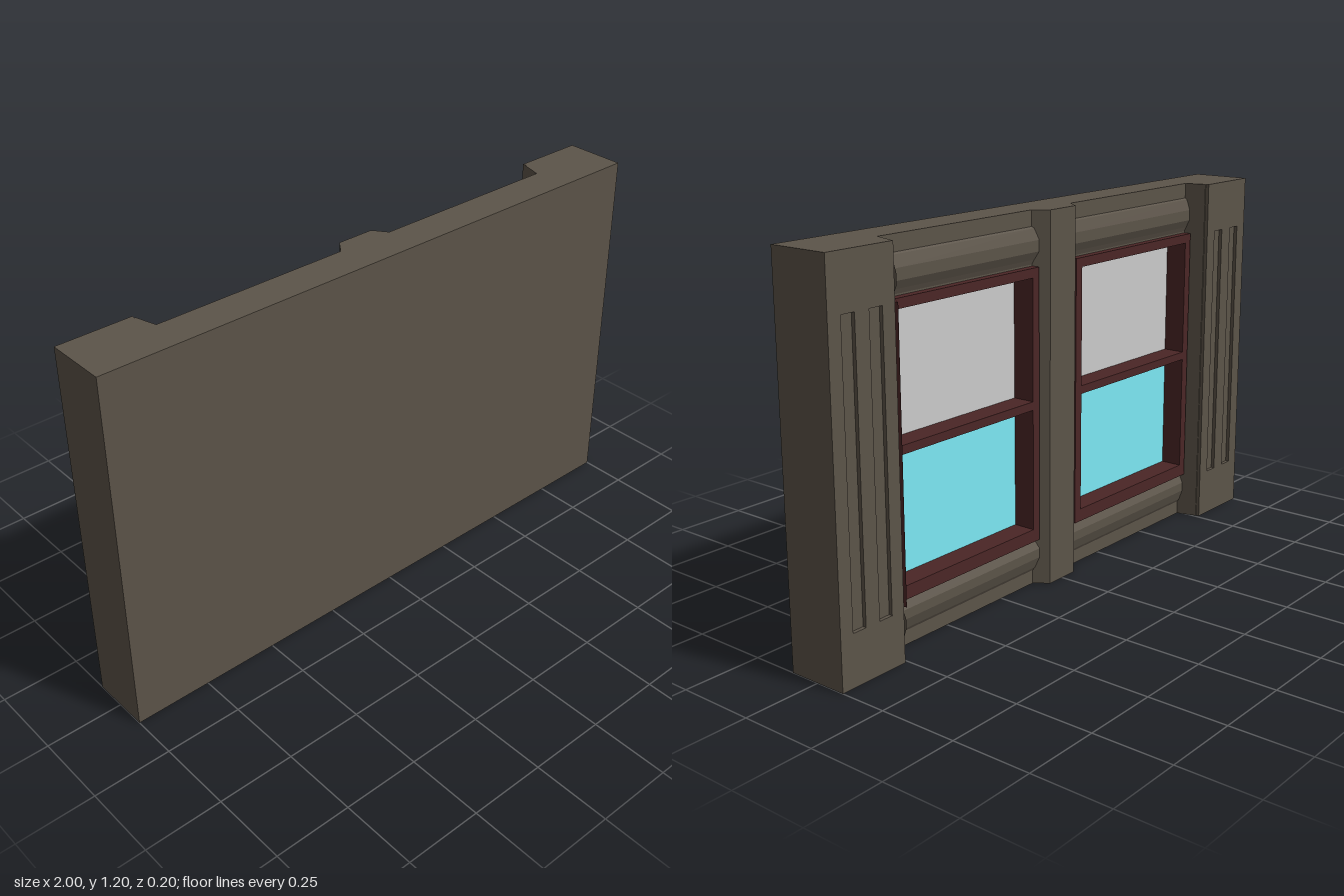
import * as THREE from 'three';

const mat = (color, extra = {}) => new THREE.MeshStandardMaterial({ color, ...extra });

function polygon(points) {
  return new THREE.Shape(points.map(([x, y]) => new THREE.Vector2(x, y)));
}

const rect = (x0, y0, x1, y1) => polygon([[x0, y0], [x1, y0], [x1, y1], [x0, y1]]);

// Panel in the XY plane with rectangular openings, from z0 to z1
function panel(outer, openings, z0, z1) {
  const shape = rect(...outer);
  openings.forEach((o) => shape.holes.push(rect(...o)));
  const g = new THREE.ExtrudeGeometry(shape, { depth: z1 - z0, bevelEnabled: false });
  return g.translate(0, 0, z0);
}

// Plan outline of [x, distance towards -z], raised from y0 to y1
function upright(points, y0, y1) {
  const g = new THREE.ExtrudeGeometry(polygon(points), { depth: y1 - y0, bevelEnabled: false });
  return g.rotateX(-Math.PI / 2).translate(0, y0, 0);
}

// Section of [distance towards -z, y], run along x from x0 to x1
function run(points, x0, x1) {
  const g = new THREE.ExtrudeGeometry(polygon(points), { depth: x1 - x0, bevelEnabled: false });
  return g.rotateY(Math.PI / 2).translate(x0, 0, 0);
}

export function createModel() {
  const model = new THREE.Group();
  const wall = mat(0x5c5449);
  const wood = mat(0x4b2626);
  const upperGlass = mat(0xcccccc, { side: THREE.DoubleSide });
  const lowerGlass = mat(0x7de9f5, { side: THREE.DoubleSide });

  const add = (name, geometry, material, parent = model) => {
    const mesh = new THREE.Mesh(geometry, material);
    mesh.name = name;
    parent.add(mesh);
    return mesh;
  };

  const H = 1.2;
  const face = -0.02; // wall surface behind the trim
  const winX = [0.092, 0.737];
  const winY = [0.155, 1.03];

  // Wall: solid front slab and a layer with the two window openings
  add('frontSlab', panel([-1, 0, 1, H], [], 0.035, 0.1), wall);
  add('windowWall', panel([-1, 0, 1, H], [
    [winX[0], winY[0], winX[1], winY[1]],
    [-winX[1], winY[0], -winX[0], winY[1]],
  ], face, 0.035), wall);

  // Outer posts with a splayed inner side and two sunk flutes
  for (const s of [1, -1]) {
    const post = new THREE.Group();
    post.name = s > 0 ? 'leftPost' : 'rightPost';
    model.add(post);
    const plan = [[s, 0.02], [s, 0.088], [s * 0.757, 0.088], [s * 0.738, 0.02]];
    add('postBody', upright(plan, 0, H), wall, post);
    const span = (a, b) => (s > 0 ? [a, b] : [-b, -a]);
    const flute = (a, b) => { const [l, r] = span(a, b); return [l, 0.16, r, 1.035]; };
    const [l, r] = span(0.76, 1);
    add('flutedFace', panel([l, 0, r, H],
      [flute(0.806, 0.854), flute(0.906, 0.954)], -0.1, -0.088), wall, post);
  }

  // Centre pilaster
  add('centrePilaster', upright(
    [[-0.095, 0.02], [0.095, 0.02], [0.062, 0.065], [-0.062, 0.065]], 0, H), wall);

  // Mouldings above and below each window
  const sections = {
    headMoulding: [[0.02, 1.035], [0.02, 1.15], [0.026, 1.145], [0.038, 1.11], [0.038, 1.075], [0.026, 1.05]],
    sillMoulding: [[0.02, 0.045], [0.02, 0.15], [0.026, 0.145], [0.038, 0.12], [0.038, 0.09], [0.026, 0.055]],
  };
  for (const [name, section] of Object.entries(sections)) {
    add(name, run(section, -0.74, -0.08), wall);
    add(name, run(section, 0.08, 0.7), wall);
    // The far left end kicks outward against the post
    const end = run(section, 0.7, 0.735);
    const p = end.attributes.position;
    for (let i = 0; i < p.count; i++) {
      if (p.getX(i) > 0.72 && p.getZ(i) < -0.021) p.setZ(i, p.getZ(i) - 0.045);
    }
    end.computeVertexNormals();
    add(name + 'End', end, wall);
  }

  // Windows: frame, meeting rail and two panes
  const jamb = 0.03;
  const front = -0.046;
  for (const s of [1, -1]) {
    const win = new THREE.Group();
    win.name = s > 0 ? 'leftWindow' : 'rightWindow';
    model.add(win);
    const [x0, x1] = s > 0 ? winX : [-winX[1], -winX[0]];
    const [y0, y1] = winY;
    const l = x0 + jamb;
    const r = x1 - jamb;
    const bottom = y0 + 0.042;
    const top = y1 - jamb;
    add('windowFrame', panel([x0, y0, x1, y1], [
      [l, bottom, r, 0.588], [l, 0.615, r, top],
    ], front, 0.034), wood, win);
    const pane = (name, a, b, material) => {
      const g = new THREE.PlaneGeometry(r - l, b - a).rotateY(Math.PI);
      add(name, g.translate((l + r) / 2, (a + b) / 2, 0.028), material, win);
    };
    pane('upperPane', 0.615, top, upperGlass);
    pane('lowerPane', bottom, 0.588, lowerGlass);
    // Raised outer edge of the left jamb
    if (s > 0) {
      add('jambEdge', upright([[r, -front], [x1, -front], [x1 - 0.004, 0.085]], y0, y1), wood, win);
    }
  }

  return model;
}
